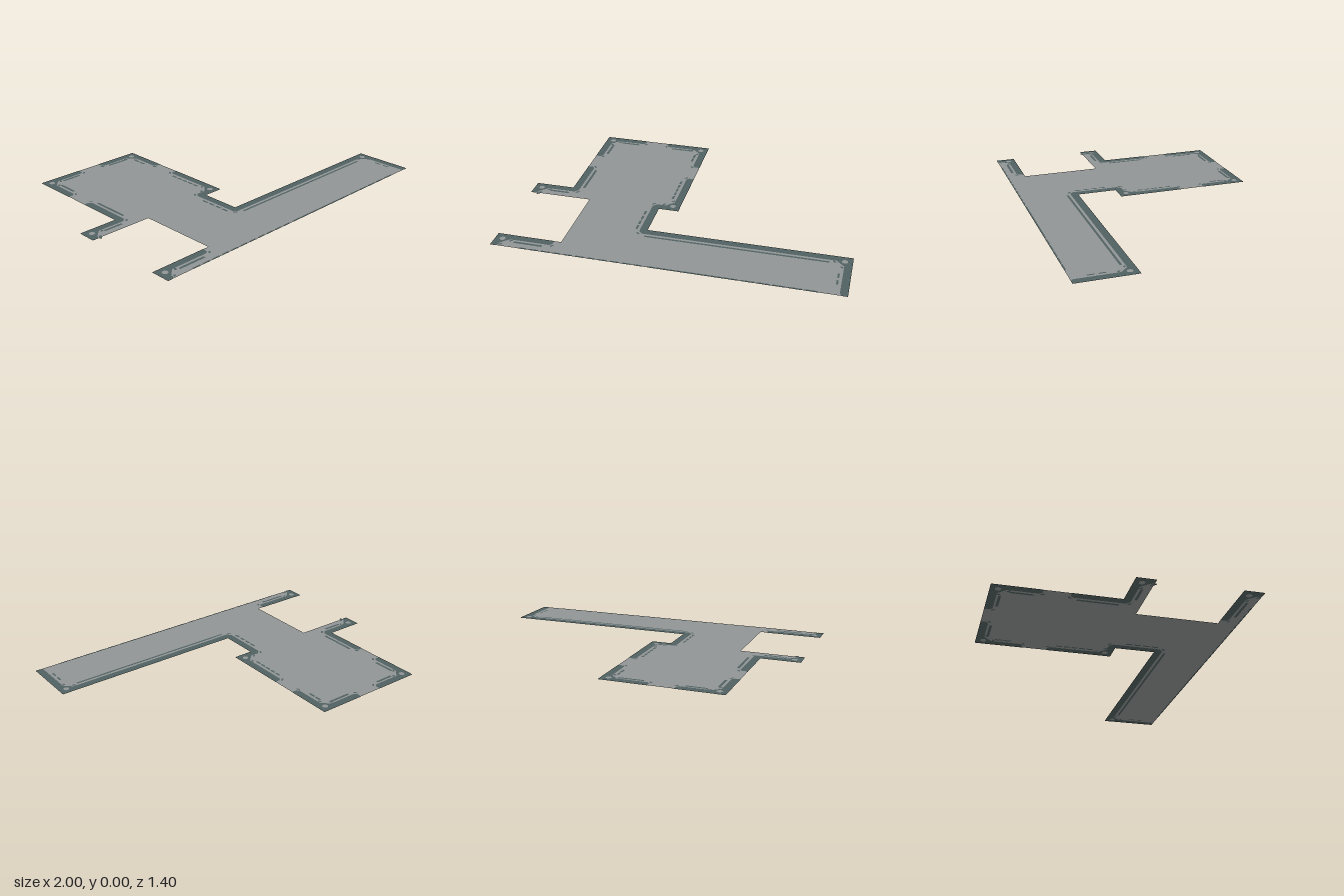
import * as THREE from 'three';
import { mergeGeometries } from 'three/addons/utils/BufferGeometryUtils.js';

const floorGrey = new THREE.MeshStandardMaterial({ color: 0x909494, side: THREE.DoubleSide });
floorGrey.name = 'floorGrey';
const trimSlate = new THREE.MeshStandardMaterial({ color: 0x506060, side: THREE.DoubleSide });
trimSlate.name = 'trimSlate';

const LAYER = 0.001; // floor lies between two layers of markings, so both sides show them
const W = 0.044;     // trim width

// Plan coordinates are [x, z]
const v = ([x, z]) => new THREE.Vector2(x, z);
const toShape = (pts) => new THREE.Shape(pts.map((p) => new THREE.Vector2(p.x, -p.y)));
const flat = (shape) => new THREE.ShapeGeometry(shape, 10).rotateX(-Math.PI / 2);
const inward = (d) => new THREE.Vector2(-d.y, d.x);
const along = (p, d, t) => p.clone().addScaledVector(d, t);

function bar(x, z, length, width, angle = 0) {
  return new THREE.PlaneGeometry(length, width).rotateX(-Math.PI / 2).rotateY(-angle).translate(x, 0, z);
}

// Edge trim: strip to the right of a path, chamfered inside, with a round hole at outer corners
function edgeTrim(path, ticks) {
  const p = path.map(v), n = p.length;
  const dir = p.slice(1).map((q, i) => q.clone().sub(p[i]).normalize());
  const c = 0.014, inner = [], holes = [];
  const tick = (q, d, len = 0.025) => ticks.push(bar(q.x, q.y, len, 0.011, Math.atan2(d.y, d.x)));
  for (let i = 0; i < n; i++) {
    if (i === 0 || i === n - 1) {
      const d = dir[i ? n - 2 : 0], s = i ? -1 : 1, m = inward(d);
      const low = along(p[i], m, W - c), high = along(along(p[i], m, W), d, s * c);
      inner.push(...(i ? [high, low] : [low, high]));
      // Slanted tick beside the chamfered end
      tick(along(along(p[i], m, W + 0.004), d, -s * 0.003), high.clone().sub(low), 0.022);
      continue;
    }
    const a = dir[i - 1], b = dir[i];
    const corner = along(along(p[i], inward(a), W), inward(b), W);
    const convex = a.cross(b) > 0;
    const k = convex ? 0.045 : 0.022;
    const before = along(corner, a, -k), after = along(corner, b, k);
    inner.push(before, after);
    const slant = after.clone().sub(before).normalize();
    if (convex) {
      holes.push(corner);
      [before, after].forEach((q) => tick(along(q, inward(slant), 0.016), slant, 0.02));
    } else {
      tick(along(before.clone().lerp(after, 0.5), inward(slant), 0.016), slant);
    }
  }
  const shape = toShape([...p, ...inner.reverse()]);
  for (const h of holes) {
    shape.holes.push(new THREE.Path().absarc(h.x, -h.y, 0.017, 0, Math.PI * 2, true));
  }
  return flat(shape);
}

// Row of dashes between two points; fill is the painted share of each step
function dashes([x0, z0], [x1, z1], count, width, fill = 1) {
  const dx = x1 - x0, dz = z1 - z0, step = Math.hypot(dx, dz) / count;
  return Array.from({ length: count }, (_, i) => {
    const t = (i + 0.5) / count;
    return bar(x0 + dx * t, z0 + dz * t, step * fill, width, Math.atan2(dz, dx));
  });
}

export function createModel() {
  const model = new THREE.Group();
  model.name = 'floorPlan';
  const add = (name, geometry, material, y) => {
    const mesh = new THREE.Mesh(geometry, material);
    mesh.name = name;
    mesh.position.y = y;
    model.add(mesh);
  };
  const addBothSides = (name, geometry) => {
    add(name + 'Top', geometry, trimSlate, 2 * LAYER);
    add(name + 'Underside', geometry, trimSlate, 0);
  };

  // Floor slab outline
  const outline = [
    [-0.765, -0.705], [-0.06, -0.705], [-0.06, 0.11], [-0.18, 0.11], [-0.18, 0.35],
    [1, 0.35], [1, 0.7], [-1, 0.7], [-1, 0.585], [-0.62, 0.585],
    [-0.62, 0.11], [-1, 0.11], [-1, 0], [-0.765, 0],
  ];
  add('floor', flat(toShape(outline.map(v))), floorGrey, LAYER);

  // Dark trim along the walls, with openings between the runs
  const ticks = [];
  const runs = [
    [[-0.765, -0.43], [-0.765, -0.705], [-0.49, -0.705]],
    [[-0.34, -0.705], [-0.06, -0.705], [-0.06, -0.43]],
    [[-0.06, -0.28], [-0.06, 0.11], [-0.18, 0.11], [-0.18, 0.35], [1, 0.35], [1, 0.7]],
    [[-1, 0.11], [-1, 0], [-0.765, 0], [-0.765, -0.28]],
    [[-1, 0.7], [-1, 0.585], [-0.66, 0.585]],
  ];
  addBothSides('edgeTrim', mergeGeometries(runs.map((r) => edgeTrim(r, ticks))));

  // Lines following the trim
  const lines = [
    ...dashes([-0.65, -0.643], [-0.53, -0.643], 1, 0.015),
    ...dashes([-0.3, -0.643], [-0.16, -0.643], 1, 0.015),
    ...dashes([-0.699, -0.6], [-0.699, -0.47], 1, 0.015),
    ...dashes([-0.699, -0.24], [-0.699, -0.01], 1, 0.015),
    ...dashes([-0.89, 0.064], [-0.77, 0.064], 1, 0.015),
    ...dashes([-0.88, 0.65], [-0.71, 0.65], 1, 0.015),
    ...dashes([-0.18, 0.416], [0.875, 0.416], 1, 0.013),
    ...dashes([-0.128, -0.6], [-0.128, -0.5], 2, 0.013, 0.85),
    ...dashes([-0.128, -0.24], [-0.128, -0.01], 5, 0.013, 0.75),
    ...dashes([-0.246, 0.15], [-0.246, 0.36], 4, 0.013, 0.75),
    ...dashes([0.934, 0.5], [0.934, 0.62], 2, 0.011, 0.65),
    // Front edge line: broken at the ends, solid in the middle
    ...dashes([-0.84, 0.695], [-0.1, 0.695], 11, 0.009, 0.7),
    ...dashes([-0.08, 0.695], [0.42, 0.695], 1, 0.009),
    ...dashes([0.43, 0.695], [0.85, 0.695], 5, 0.009, 0.85),
    ...ticks.filter((t) => {
      t.computeBoundingBox();
      return t.boundingBox.max.z < 0.7;
    }),
  ];
  addBothSides('floorLines', mergeGeometries(lines));
  return model;
}
